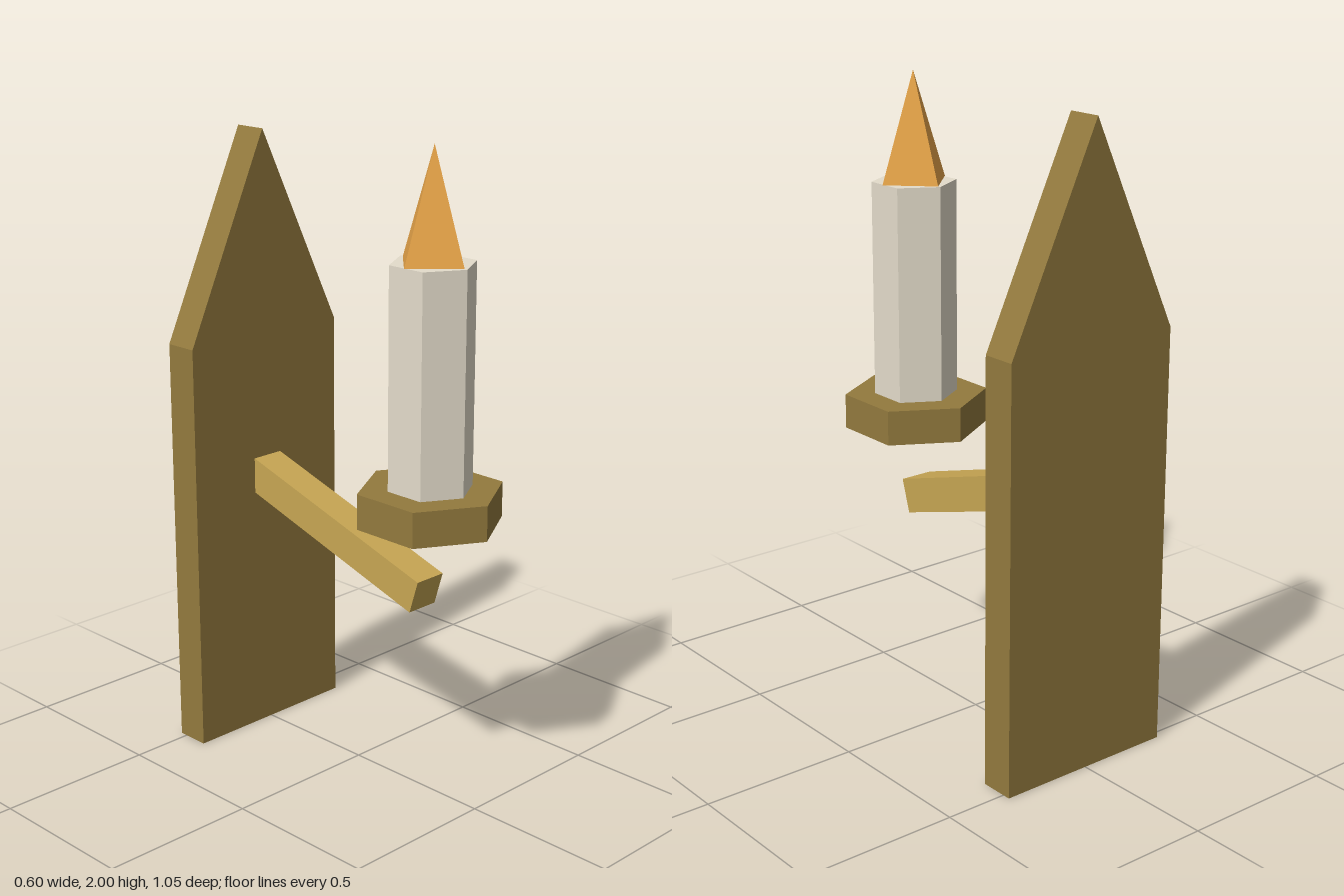
import * as THREE from 'three';

const material = (name, color) => {
  const m = new THREE.MeshStandardMaterial({ color, flatShading: true });
  m.name = name;
  return m;
};

export function createModel() {
  const group = new THREE.Group();
  const darkWood = material('dark wood', 0x937a3e);
  const lightWood = material('light wood', 0xc7a653);
  const wax = material('wax', 0xe4dccb);
  const flameOrange = material('flame orange', 0xe5a348);

  const add = (name, geometry, mat, x, y, z) => {
    const mesh = new THREE.Mesh(geometry, mat);
    mesh.name = name;
    mesh.position.set(x, y, z);
    group.add(mesh);
    return mesh;
  };

  // Pointed wall plate
  const outline = new THREE.Shape([
    [-0.3, 0], [0.3, 0], [0.3, 1.325], [0, 1.967], [-0.3, 1.325],
  ].map(([x, y]) => new THREE.Vector2(x, y)));
  const plate = new THREE.ExtrudeGeometry(outline, { depth: 0.11, bevelEnabled: false });
  add('wallPlate', plate, darkWood, 0, 0, -0.525);

  // Slanted arm, rooted inside the plate
  const arm = add('arm', new THREE.BoxGeometry(0.11, 0.11, 0.77), lightWood, 0, 0.761, -0.08);
  arm.rotation.x = 0.3;

  // Six-sided dish and candle with a four-sided flame
  const z = 0.3;
  add('dish', new THREE.CylinderGeometry(0.225, 0.225, 0.11, 6), darkWood, 0, 0.93, z);
  add('candle', new THREE.CylinderGeometry(0.131, 0.131, 0.677, 6), wax, 0, 1.3235, z);
  add('flame', new THREE.ConeGeometry(0.12, 0.338, 4), flameOrange, 0, 1.831, z);

  return group;
}
